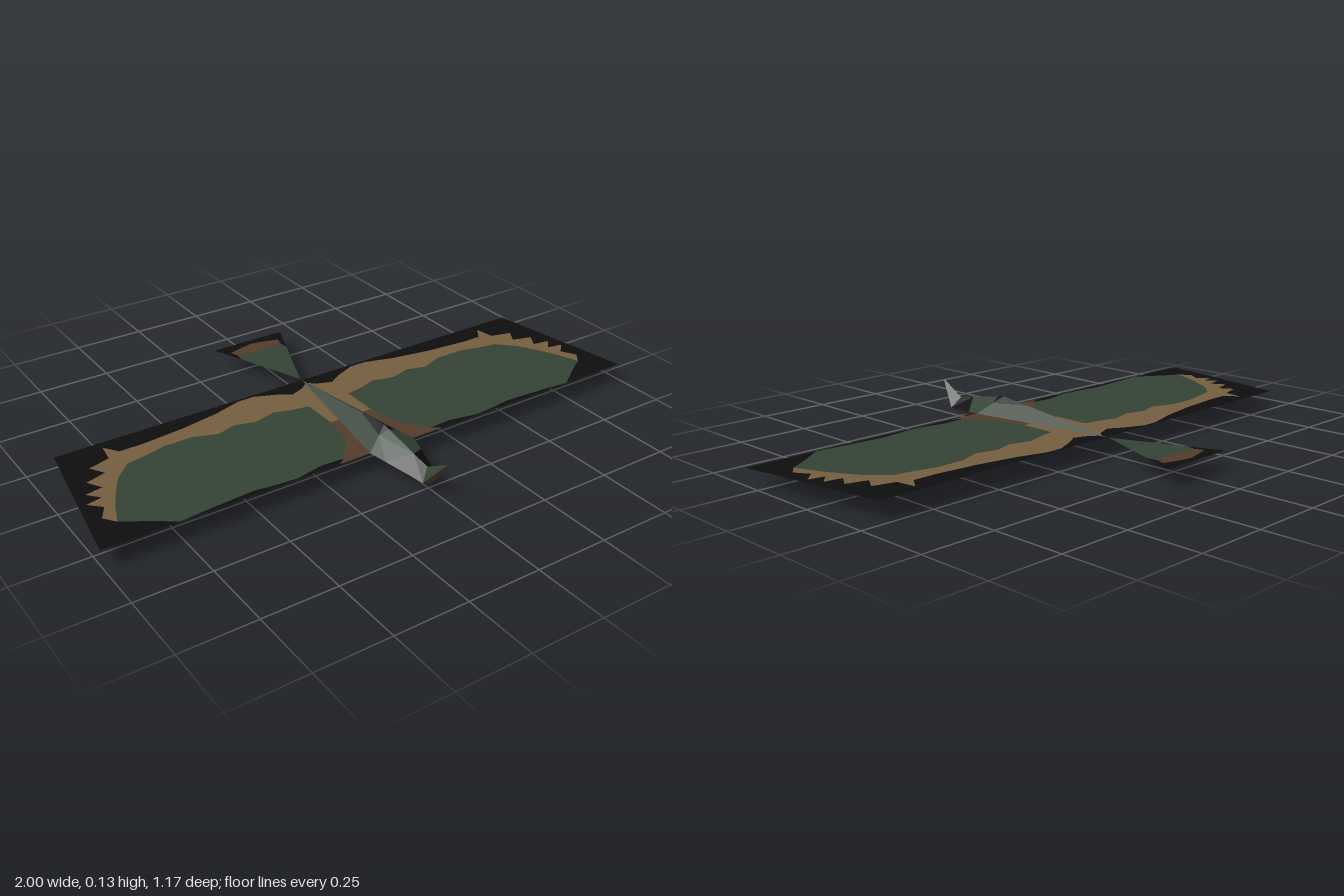
import * as THREE from 'three';

const mat = (name, color) =>
  new THREE.MeshStandardMaterial({ name, color, side: THREE.DoubleSide });

export function createModel() {
  const green = mat('feather green', 0x344235);
  const black = mat('feather black', 0x0d0d0d);
  const tan = mat('feather tan', 0x755d3e);
  const brown = mat('feather brown', 0x553b2a);

  const bird = new THREE.Group();
  bird.name = 'bird';
  const Y = 0.06; // height of the flat wings and tail

  // Flat horizontal patch from [x, z] outline points
  function patch(parent, name, material, outline, side = 1) {
    const shape = new THREE.Shape(outline.map(([x, z]) => new THREE.Vector2(x * side, -z)));
    const mesh = new THREE.Mesh(new THREE.ShapeGeometry(shape), material);
    mesh.geometry.rotateX(-Math.PI / 2);
    mesh.position.y = Y;
    mesh.name = name;
    parent.add(mesh);
  }

  // Borders between the wing's colour bands, from the root outwards
  const tanEdge = [
    [0.005, -0.19], [0.03, -0.17], [0.08, -0.15], [0.13, -0.18], [0.2, -0.21], [0.26, -0.21],
    [0.36, -0.18], [0.5, -0.155], [0.65, -0.14], [0.73, -0.14], [0.765, -0.19], [0.775, -0.12],
    [0.85, -0.1], [0.82, -0.05], [0.89, -0.03], [0.86, 0.02], [0.92, 0.03], [0.885, 0.07],
    [0.94, 0.08], [0.9, 0.12], [0.93, 0.17]];
  const greenEdge = [
    [0.08, 0.08], [0.08, -0.05], [0.14, -0.06], [0.2, -0.08], [0.28, -0.06], [0.35, -0.08],
    [0.42, -0.06], [0.5, -0.09], [0.6, -0.09], [0.68, -0.07], [0.74, -0.06], [0.8, 0],
    [0.84, 0.07], [0.87, 0.13]];
  const tip = [[0.9, 0.21], [0.82, 0.26], [0.75, 0.31]];
  const frontEdge = [
    [0.75, 0.31], [0.65, 0.3], [0.5, 0.29], [0.42, 0.3], [0.35, 0.305], [0.25, 0.285], [0.17, 0.29]];

  for (const side of [1, -1]) {
    const wing = new THREE.Group();
    wing.name = side > 0 ? 'leftWing' : 'rightWing';
    bird.add(wing);
    patch(wing, 'wingBorder', black,
      [[0, -0.22], [0.915, -0.22], [1, 0.31], ...[...tanEdge, ...tip].reverse()], side);
    patch(wing, 'wingFringe', tan,
      [...tanEdge, tip[0], ...[...greenEdge].reverse(), [0.048, 0.08]], side);
    patch(wing, 'wingField', green,
      [...greenEdge, ...tip, ...frontEdge.slice(1), [0.1, 0.2]], side);
    patch(wing, 'wingLeadingEdge', black, [...frontEdge, [0.2, 0.31]], side);
    patch(wing, 'wingRoot', brown,
      [[0.048, 0.08], [0.08, 0.08], [0.1, 0.2], [0.17, 0.29], [0.2, 0.31], [0.085, 0.31]], side);
  }

  // Fan tail: green, brown band, black rim
  const tail = new THREE.Group();
  tail.name = 'tail';
  bird.add(tail);
  const bandFront = [[-0.093, -0.47], [-0.09, -0.51], [-0.04, -0.5], [0.04, -0.5], [0.09, -0.51], [0.093, -0.47]];
  const bandBack = [[-0.1, -0.54], [-0.05, -0.555], [0, -0.565], [0.05, -0.555], [0.1, -0.54]];
  patch(tail, 'tailField', green, [[0, -0.23], ...bandFront]);
  patch(tail, 'tailBand', brown, [...bandFront.slice(1, 5), ...[...bandBack].reverse()]);
  patch(tail, 'tailRim', black, [
    bandFront[0], bandFront[1], ...bandBack, bandFront[4], bandFront[5], [0.14, -0.59], [-0.14, -0.59]]);

  // Body: diamond sections joined by flat facets
  const V = (x, y, z) => new THREE.Vector3(x, y, z);
  const mix = (a, b, t) => a.clone().lerp(b, t);
  const back = V(0, 0.115, 0.265), flank = V(0.085, Y, 0.31), belly = V(0, 0.003, 0.38);
  const rump = V(0, Y, -0.22), beak = V(0, 0.13, 0.585);
  const crown = V(0, 0.075, 0.49), cheek = V(0.03, 0.037, 0.51), chin = V(0, 0.03, 0.515);
  const saddle = mix(back, rump, 0.25), saddleSide = mix(back, flank, 0.38);
  const saddleFront = mix(back, crown, 0.12);
  const nape = mix(back, crown, 0.7), neck = mix(flank, cheek, 0.3);
  const flankRear = mix(flank, rump, 0.25), bellyRear = mix(belly, rump, 0.2);

  const facets = [
    ['saddle', black, [[saddleSide, back, saddle], [saddleSide, saddleFront, back]]],
    ['back', green, [[saddleSide, saddle, rump, flank], [saddleSide, flank, neck, nape, saddleFront]]],
    ['head', black, [[nape, neck, cheek, crown]]],
    ['breast', brown, [[belly, chin, cheek, flank], [belly, flank, flankRear, bellyRear]]],
    ['underside', green, [[bellyRear, flankRear, rump]]],
    ['upperBeak', green, [[crown, cheek, beak]]],
    ['lowerBeak', brown, [[chin, beak, cheek]]],
  ];

  const body = new THREE.Group();
  body.name = 'body';
  bird.add(body);
  for (const [name, material, polygons] of facets) {
    const pos = [];
    for (const side of [1, -1]) {
      for (const p of polygons) {
        for (let i = 1; i < p.length - 1; i++) {
          const tri = side > 0 ? [p[0], p[i], p[i + 1]] : [p[0], p[i + 1], p[i]];
          for (const v of tri) pos.push(v.x * side, v.y, v.z);
        }
      }
    }
    const geometry = new THREE.BufferGeometry();
    geometry.setAttribute('position', new THREE.Float32BufferAttribute(pos, 3));
    geometry.computeVertexNormals();
    const mesh = new THREE.Mesh(geometry, material);
    mesh.name = name;
    body.add(mesh);
  }
  return bird;
}
